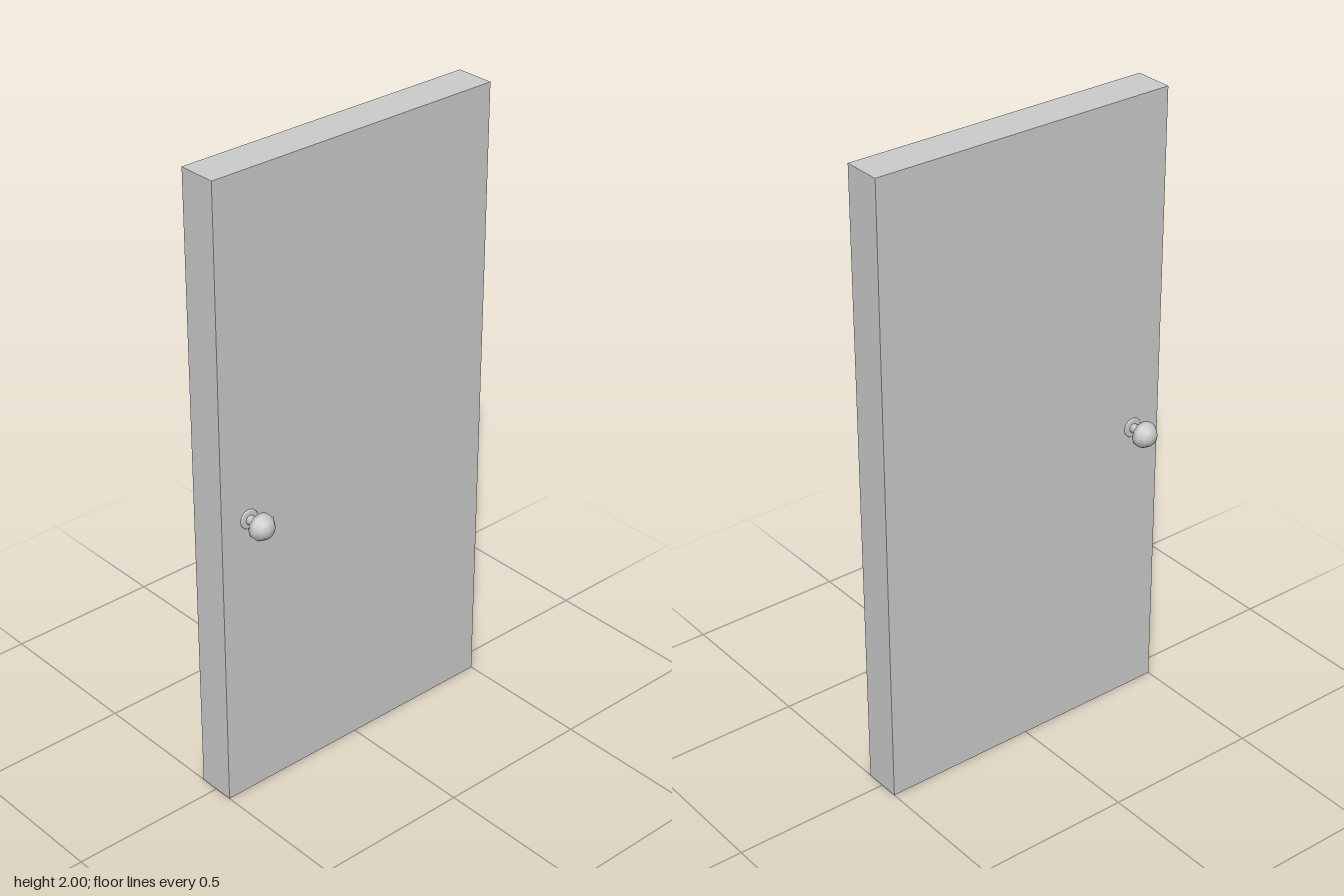
import * as THREE from 'three';

const material = new THREE.MeshStandardMaterial({ color: 0xcccccc });
const HALF_DEPTH = 0.061;

// Lathe around y; heights are distances out from the door face
function turned(name, points) {
  const profile = points.map(([r, h]) => new THREE.Vector2(r, h));
  const mesh = new THREE.Mesh(new THREE.LatheGeometry(profile, 12), material);
  mesh.name = name;
  return mesh;
}

function createHandle(name) {
  const handle = new THREE.Group();
  handle.name = name;
  // Shallow rosette with a chamfered rim
  handle.add(turned('rosette', [[0.031, 0], [0.031, 0.003], [0.027, 0.006], [0, 0.006]]));
  // Stem flaring into a faceted round knob
  handle.add(turned('knob', [
    [0.015, 0], [0.015, 0.026], [0.022, 0.032], [0.041, 0.047],
    [0.041, 0.064], [0.027, 0.084], [0.014, 0.091], [0, 0.093],
  ]));
  return handle;
}

export function createModel() {
  const door = new THREE.Group();
  door.name = 'door';

  // Plain slab
  const slab = new THREE.Mesh(new THREE.BoxGeometry(1, 2, HALF_DEPTH * 2), material);
  slab.name = 'doorPanel';
  slab.position.y = 1;
  door.add(slab);

  // One handle on each face
  for (const side of [1, -1]) {
    const handle = createHandle(side > 0 ? 'frontHandle' : 'backHandle');
    handle.position.set(-0.402, 0.94, side * HALF_DEPTH);
    handle.rotation.x = side * Math.PI / 2;
    door.add(handle);
  }
  return door;
}
